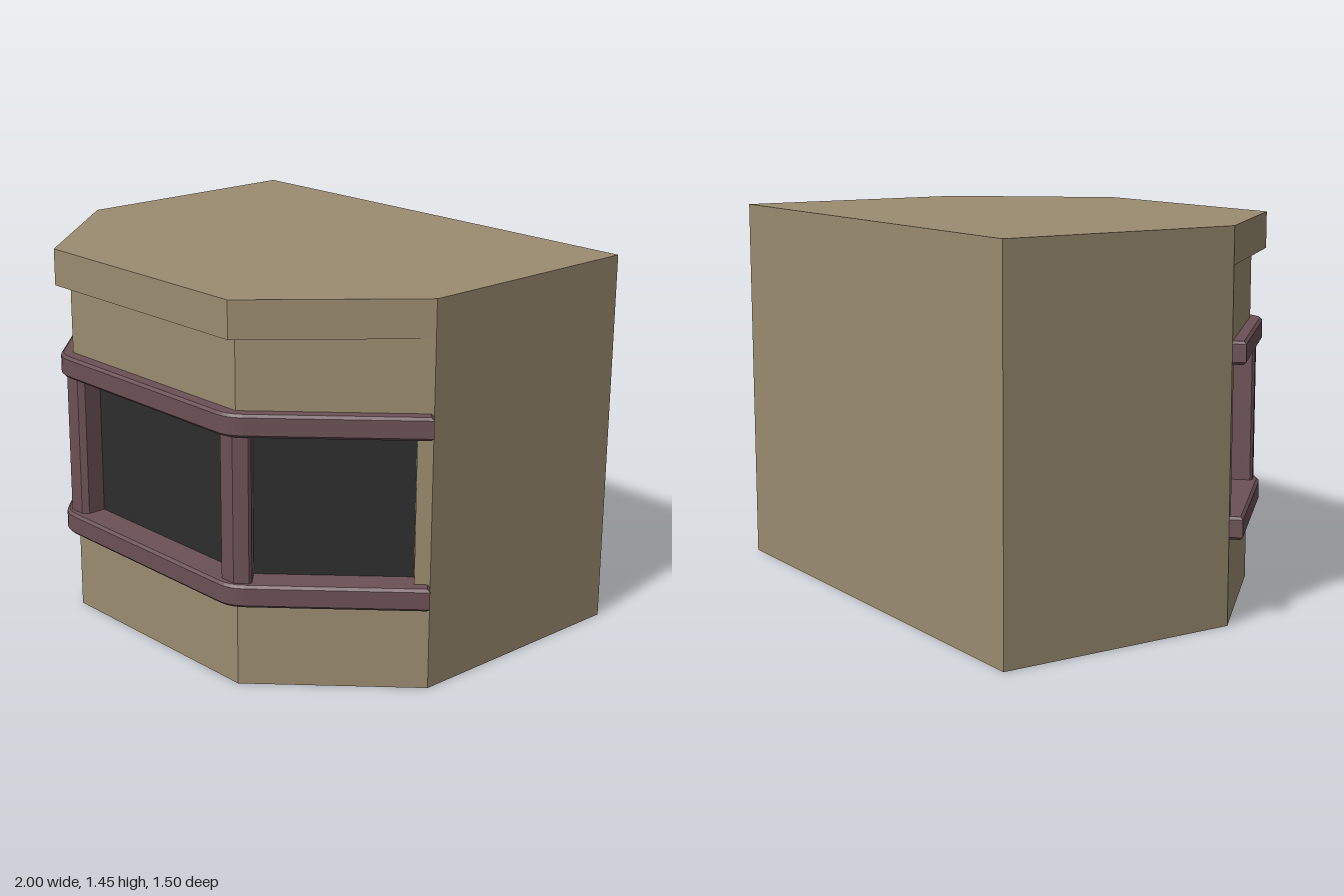
import * as THREE from 'three';

const mat = (name, color) => Object.assign(new THREE.MeshStandardMaterial({ color }), { name });

// Mirror a right-half outline [x, z] (listed back to front) into a closed outline
const mirror = half => [...half, ...half.slice().reverse().map(([x, z]) => [-x, z])];

// Upright prism over a plan outline, between two heights
function prism(name, outline, y0, y1, material, bevel = 0) {
  const shape = new THREE.Shape(outline.map(([x, z]) => new THREE.Vector2(x, -z)));
  const geo = new THREE.ExtrudeGeometry(shape, {
    depth: y1 - y0 - 2 * bevel, bevelEnabled: bevel > 0,
    bevelThickness: bevel, bevelSize: bevel, bevelOffset: -bevel, bevelSegments: 1,
  });
  geo.rotateX(-Math.PI / 2).translate(0, y0 + bevel, 0);
  const mesh = new THREE.Mesh(geo, material);
  mesh.name = name;
  return mesh;
}

export function createModel() {
  const plaster = mat('plaster', 0x9b8c70);
  const trim = mat('trim', 0x6c5156);
  const glass = mat('glass', 0x2d2d2d);
  const model = new THREE.Group();
  model.name = 'bayWindow';

  // Walls: plain below and above, recessed at window height, overhanging cap on top
  const wall = mirror([[0.965, -0.75], [0.965, 0.21], [0.48, 0.695]]);
  const recess = mirror([[0.965, -0.75], [0.965, 0.21], [0.925, 0.25], [0.875, 0.2], [0.45, 0.625]]);
  const cap = mirror([[0.965, -0.75], [0.965, 0.21], [0.505, 0.747]]);
  model.add(
    prism('lowerWall', wall, 0, 0.36, plaster),
    prism('windowWall', recess, 0.36, 1.0, plaster),
    prism('upperWall', wall, 1.0, 1.31, plaster),
    prism('capSlab', cap, 1.31, 1.45, plaster),
  );

  // Glass: a thin strip wrapped around the recess
  const pane = mirror([[0.873, 0.198], [0.877, 0.202], [0.452, 0.629]]);
  model.add(prism('windowGlass', pane, 0.37, 0.99, glass));

  // Sill and head bands with rounded corners
  const corner = new THREE.QuadraticBezierCurve(
    new THREE.Vector2(0.535, 0.71), new THREE.Vector2(0.495, 0.75), new THREE.Vector2(0.44, 0.75));
  const outer = [[1.0, 0.245], ...corner.getPoints(4).map(p => [p.x, p.y])];
  const inner = [[0.44, 0.6], [0.895, 0.14]];
  const band = [
    ...outer, ...outer.slice().reverse().map(([x, z]) => [-x, z]),
    ...inner.slice().reverse().map(([x, z]) => [-x, z]), ...inner,
  ];
  model.add(
    prism('sillBand', band, 0.32, 0.405, trim, 0.01),
    prism('headBand', band, 0.957, 1.042, trim, 0.01),
  );

  // Corner posts
  for (const s of [1, -1]) {
    const post = [
      [0.405, 0.61], [0.405, 0.7], [0.425, 0.72], [0.49, 0.72],
      [0.53, 0.682], [0.53, 0.668], [0.46, 0.598],
    ].map(([x, z]) => [x * s, z]);
    model.add(prism(s > 0 ? 'leftPost' : 'rightPost', post, 0.38, 0.98, trim));
  }
  return model;
}
